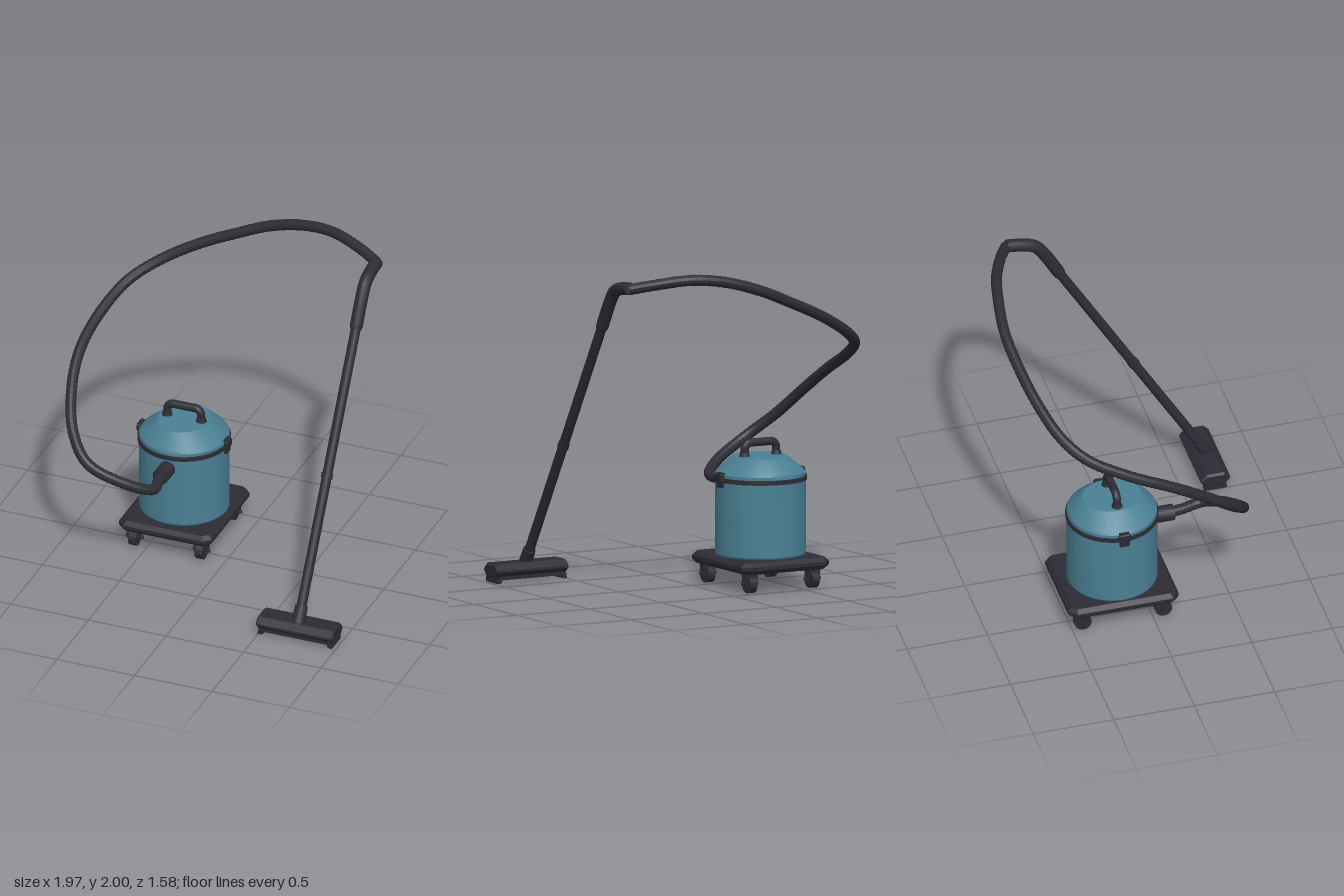
import * as THREE from 'three';
import { toCreasedNormals } from 'three/addons/utils/BufferGeometryUtils.js';

const V = (x, y, z) => new THREE.Vector3(x, y, z);

export function createModel() {
  const model = new THREE.Group();
  model.name = 'canisterVacuum';
  const teal = new THREE.MeshStandardMaterial({ name: 'teal shell', color: 0x4a8094 });
  const dark = new THREE.MeshStandardMaterial({ name: 'charcoal plastic', color: 0x2d2c35 });

  const add = (name, geometry, material = dark, parent = model) => {
    const mesh = new THREE.Mesh(toCreasedNormals(geometry, 0.5), material);
    mesh.name = name;
    parent.add(mesh);
    return mesh;
  };
  // Capped round bar between two points
  const rod = (name, a, b, r, parent = model, r2 = r, sides = 16) => {
    const mesh = add(name, new THREE.CylinderGeometry(r2, r, a.distanceTo(b), sides), dark, parent);
    mesh.position.copy(a).lerp(b, 0.5);
    mesh.quaternion.setFromUnitVectors(V(0, 1, 0), b.clone().sub(a).normalize());
    return mesh;
  };
  const lathe = (pts, sides = 40) =>
    new THREE.LatheGeometry(pts.map(([r, y]) => new THREE.Vector2(r, y)), sides);
  const box = (name, w, h, d, x, y, z, parent = model) => {
    const mesh = add(name, new THREE.BoxGeometry(w, h, d), dark, parent);
    mesh.position.set(x, y, z);
    return mesh;
  };
  // Rectangle with cut corners
  const cutRect = (w, h, c) => new THREE.Shape([
    [-w + c, -h], [w - c, -h], [w, -h + c], [w, h - c],
    [w - c, h], [-w + c, h], [-w, h - c], [-w, -h + c],
  ].map(([x, y]) => new THREE.Vector2(x, y)));
  const slab = (w, h, c, depth, bevel) => new THREE.ExtrudeGeometry(cutRect(w - bevel, h - bevel, c), {
    depth: depth - 2 * bevel, bevelEnabled: true, bevelThickness: bevel, bevelSize: bevel, bevelSegments: 1,
  }).translate(0, 0, -(depth - 2 * bevel) / 2);

  // Canister
  const canister = new THREE.Group();
  canister.name = 'canister';
  canister.position.set(-0.365, 0, -0.19);
  model.add(canister);
  add('drum', lathe([[0, 0.185], [0.262, 0.185], [0.272, 0.2], [0.272, 0.65], [0, 0.65]]), teal, canister);
  add('rimBand', lathe([[0.26, 0.64], [0.28, 0.642], [0.28, 0.668], [0.26, 0.67]]), dark, canister);

  // Lid narrows from a circle to an oval crown
  const lid = lathe([[0.271, 0.66], [0.271, 0.688], [0.262, 0.705], [0.185, 0.781], [0.18, 0.785], [0, 0.787]]);
  const p = lid.attributes.position;
  for (let i = 0; i < p.count; i++) {
    const t = THREE.MathUtils.clamp((p.getY(i) - 0.688) / 0.093, 0, 1);
    p.setX(i, p.getX(i) * (1 - 0.13 * t));
  }
  add('lid', lid, teal, canister);

  // Carry handle
  const grip = new THREE.CurvePath();
  const bar = [V(-0.108, 0.78, 0), V(-0.108, 0.842, 0), V(-0.085, 0.866, 0),
    V(0.085, 0.866, 0), V(0.108, 0.842, 0), V(0.108, 0.78, 0)];
  for (let i = 0; i < 5; i++) grip.add(new THREE.LineCurve3(bar[i], bar[i + 1]));
  add('carryHandle', new THREE.TubeGeometry(grip, 48, 0.025, 12), dark, canister);

  for (const s of [-1, 1]) {
    rod('handleFoot', V(s * 0.11, 0.775, 0), V(s * 0.11, 0.81, 0), 0.036, canister, 0.026);
    // Side latches
    box('latchPlate', 0.025, 0.09, 0.06, s * 0.275, 0.655, 0, canister);
    const clip = add('latchClip', slab(0.037, 0.03, 0.008, 0.026, 0.005), dark, canister);
    clip.rotation.y = Math.PI / 2;
    clip.position.set(s * 0.281, 0.668, 0);
  }

  // Wheeled cart
  const cart = add('cartPlate', slab(0.3, 0.342, 0.03, 0.07, 0.024));
  cart.rotation.x = -Math.PI / 2;
  cart.position.set(-0.365, 0.155, -0.19);
  for (const x of [-0.58, -0.15]) for (const z of [0.065, -0.435]) {
    const caster = new THREE.Group();
    caster.name = 'caster';
    caster.position.set(x, 0, z);
    model.add(caster);
    rod('casterStem', V(0, 0.08, 0), V(0, 0.125, 0), 0.028, caster);
    box('forkTop', 0.08, 0.018, 0.06, 0, 0.108, 0, caster);
    rod('wheel', V(-0.024, 0.052, 0), V(0.024, 0.052, 0), 0.052, caster, 0.052, 20);
    rod('axle', V(-0.055, 0.058, 0), V(0.055, 0.058, 0), 0.01, caster);
    for (const s of [-1, 1]) box('forkArm', 0.012, 0.07, 0.04, s * 0.036, 0.078, 0, caster);
  }

  // Hose port
  rod('hosePort', V(-0.365, 0.58, 0.05), V(-0.365, 0.58, 0.19), 0.05);

  // Hose with fine ribs
  const hosePath = new THREE.CatmullRomCurve3([
    [-0.365, 0.58, 0.15], [-0.355, 0.583, 0.25], [-0.34, 0.597, 0.37], [-0.45, 0.66, 0.475],
    [-0.69, 0.785, 0.535], [-0.83, 0.92, 0.43], [-0.92, 1.1, 0.23], [-0.953, 1.24, 0.02],
    [-0.93, 1.36, -0.24], [-0.85, 1.47, -0.475], [-0.72, 1.56, -0.6], [-0.5, 1.68, -0.69],
    [-0.25, 1.79, -0.74], [-0.03, 1.88, -0.76], [0.2, 1.945, -0.735], [0.4, 1.965, -0.69],
    [0.6, 1.942, -0.61], [0.742, 1.915, -0.535],
  ].map((q) => V(...q)));
  const segs = 240, sides = 12;
  const hose = new THREE.TubeGeometry(hosePath, segs, 0.034, sides);
  const hp = hose.attributes.position, v = V(0, 0, 0);
  for (let i = 0; i <= segs; i += 2) {
    const c = hosePath.getPointAt(i / segs);
    for (let j = 0; j <= sides; j++) {
      const k = i * (sides + 1) + j;
      v.fromBufferAttribute(hp, k).sub(c).multiplyScalar(0.94).add(c);
      hp.setXYZ(k, v.x, v.y, v.z);
    }
  }
  add('hose', hose);

  // Bent hand grip at the top of the wand
  const X = 0.737;
  const gripPath = new THREE.CatmullRomCurve3([
    V(X, 1.92, -0.525), V(X, 1.905, -0.42), V(X, 1.88, -0.355), V(X, 1.82, -0.305), V(X, 1.66, -0.211),
  ]);
  add('wandGrip', new THREE.TubeGeometry(gripPath, 30, 0.039, 14));
  rod('gripMouth', V(X, 1.921, -0.535), V(X, 1.915, -0.5), 0.038);

  // Straight wand: points along it are found from height
  const at = (y) => V(X, y, -0.2 + (1.64 - y) * 0.592);
  rod('gripCollar', at(1.64), at(1.67), 0.036, model, 0.04);
  rod('wand', at(0.1), at(1.7), 0.03);
  rod('wandJoint', at(0.855), at(0.885), 0.035);
  rod('neckCollar', at(0.085), at(0.19), 0.041, model, 0.038);

  // Floor head with long lips and end skids
  const head = new THREE.Group();
  head.name = 'floorHead';
  head.position.set(X, 0, 0.698);
  model.add(head);
  const shell = add('headShell', slab(0.091, 0.042, 0.028, 0.495, 0.012), dark, head);
  shell.rotation.y = Math.PI / 2;
  shell.position.y = 0.073;
  for (const s of [-1, 1]) {
    box('lip', 0.45, 0.022, 0.02, 0, 0.031, s * 0.058, head);
    box('skid', 0.03, 0.028, 0.14, s * 0.222, 0.018, 0, head);
    box('skidFoot', 0.022, 0.014, 0.14, s * 0.228, 0.007, 0, head);
    box('rib', 0.014, 0.016, 0.1, s * 0.075, 0.028, 0, head);
  }
  return model;
}
